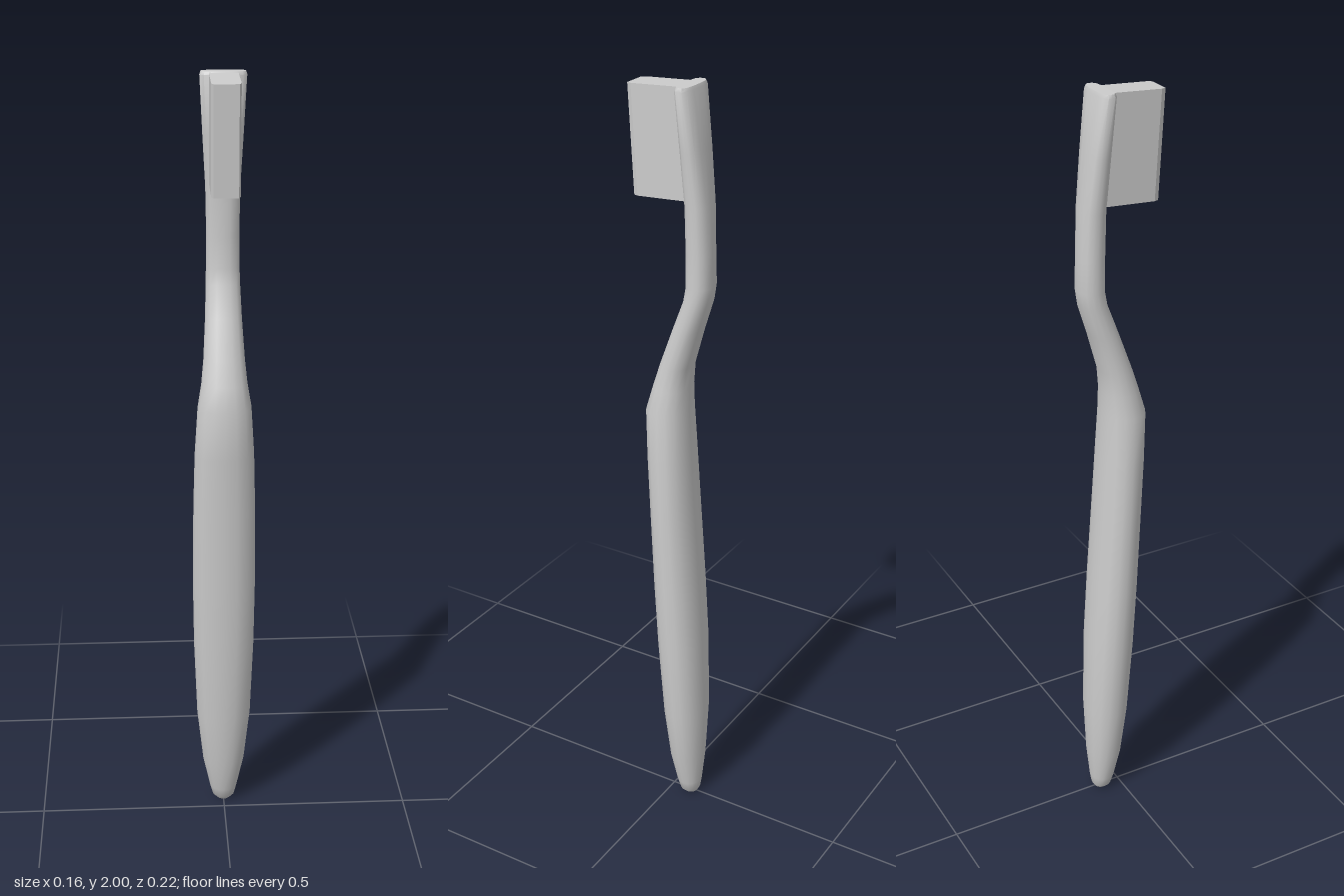
import * as THREE from 'three';
import { toCreasedNormals } from 'three/addons/utils/BufferGeometryUtils.js';

const SIDES = 16;
const material = new THREE.MeshStandardMaterial({ color: 0xcccccc });

// Handle sections: height, back z, front z, half width, squareness exponent
const SECTIONS = [
  [0.0, -0.072, -0.036, 0.018, 2],
  [0.012, -0.079, -0.026, 0.03, 2],
  [0.04, -0.083, -0.017, 0.037, 2],
  [0.13, -0.09, 0.0, 0.056, 2.1],
  [0.28, -0.094, 0.016, 0.072, 2.2],
  [0.5, -0.086, 0.031, 0.08, 2.3],
  [0.68, -0.074, 0.041, 0.082, 2.3],
  [0.9, -0.058, 0.052, 0.08, 2.3],
  [1.05, -0.049, 0.061, 0.076, 2.3],
  [1.18, -0.043, 0.068, 0.068, 2.3],
  [1.24, -0.043, 0.051, 0.058, 2.3],
  [1.3, -0.048, 0.032, 0.052, 2.3],
  [1.4, -0.076, -0.004, 0.046, 2.4],
  [1.48, -0.101, -0.034, 0.043, 2.4],
  [1.52, -0.107, -0.041, 0.042, 2.4],
  [1.6, -0.104, -0.041, 0.041, 2.5],
  [1.72, -0.098, -0.04, 0.043, 2.8],
  [1.85, -0.082, -0.032, 0.05, 3.2],
  [1.992, -0.063, -0.022, 0.057, 3.6],
  [2.0, -0.06, -0.026, 0.054, 3.6],
];

// Lofts superellipse rings from bottom to top and closes both ends
function loft(sections) {
  const pos = [], index = [];
  for (const [y, back, front, w, n] of sections) {
    for (let i = 0; i < SIDES; i++) {
      const a = (i / SIDES) * Math.PI * 2;
      const c = Math.cos(a), s = Math.sin(a);
      const r = Math.pow(Math.abs(c) ** n + Math.abs(s) ** n, -1 / n);
      pos.push(w * r * s, y, (front + back) / 2 + ((front - back) / 2) * r * c);
    }
  }
  const last = sections.length - 1;
  for (let j = 0; j < last; j++) {
    for (let i = 0; i < SIDES; i++) {
      const k = (i + 1) % SIDES;
      const a = j * SIDES + i, b = j * SIDES + k;
      index.push(a, b, b + SIDES, a, b + SIDES, a + SIDES);
    }
  }
  for (let i = 1; i < SIDES - 1; i++) {
    const t = last * SIDES;
    index.push(0, i + 1, i, t, t + i, t + i + 1);
  }
  const geometry = new THREE.BufferGeometry();
  geometry.setAttribute('position', new THREE.Float32BufferAttribute(pos, 3));
  geometry.setIndex(index);
  return toCreasedNormals(geometry, 0.75);
}

// Bristle block: chamfered outline swept upwards, sheared to follow the head
function bristleGeometry() {
  const outline = [[-0.035, -0.05], [0.035, -0.05], [0.035, 0.082], [0.03, 0.094], [-0.03, 0.094], [-0.035, 0.082]];
  const shape = new THREE.Shape(outline.map(([x, z]) => new THREE.Vector2(x, -z)));
  const geometry = new THREE.ExtrudeGeometry(shape, { depth: 0.265, bevelEnabled: false });
  geometry.rotateX(-Math.PI / 2);
  const p = geometry.attributes.position;
  for (let i = 0; i < p.count; i++) {
    const y = p.getY(i), z = p.getZ(i);
    p.setXYZ(i, p.getX(i), 1.724 + y - 0.06 * (z - 0.094), z + 0.06 * y);
  }
  geometry.computeVertexNormals();
  return geometry;
}

export function createModel() {
  const group = new THREE.Group();
  group.name = 'toothbrush';
  const add = (name, geometry) => {
    const mesh = new THREE.Mesh(geometry, material);
    mesh.name = name;
    group.add(mesh);
  };
  add('handleAndHead', loft(SECTIONS));
  add('bristles', bristleGeometry());
  return group;
}
